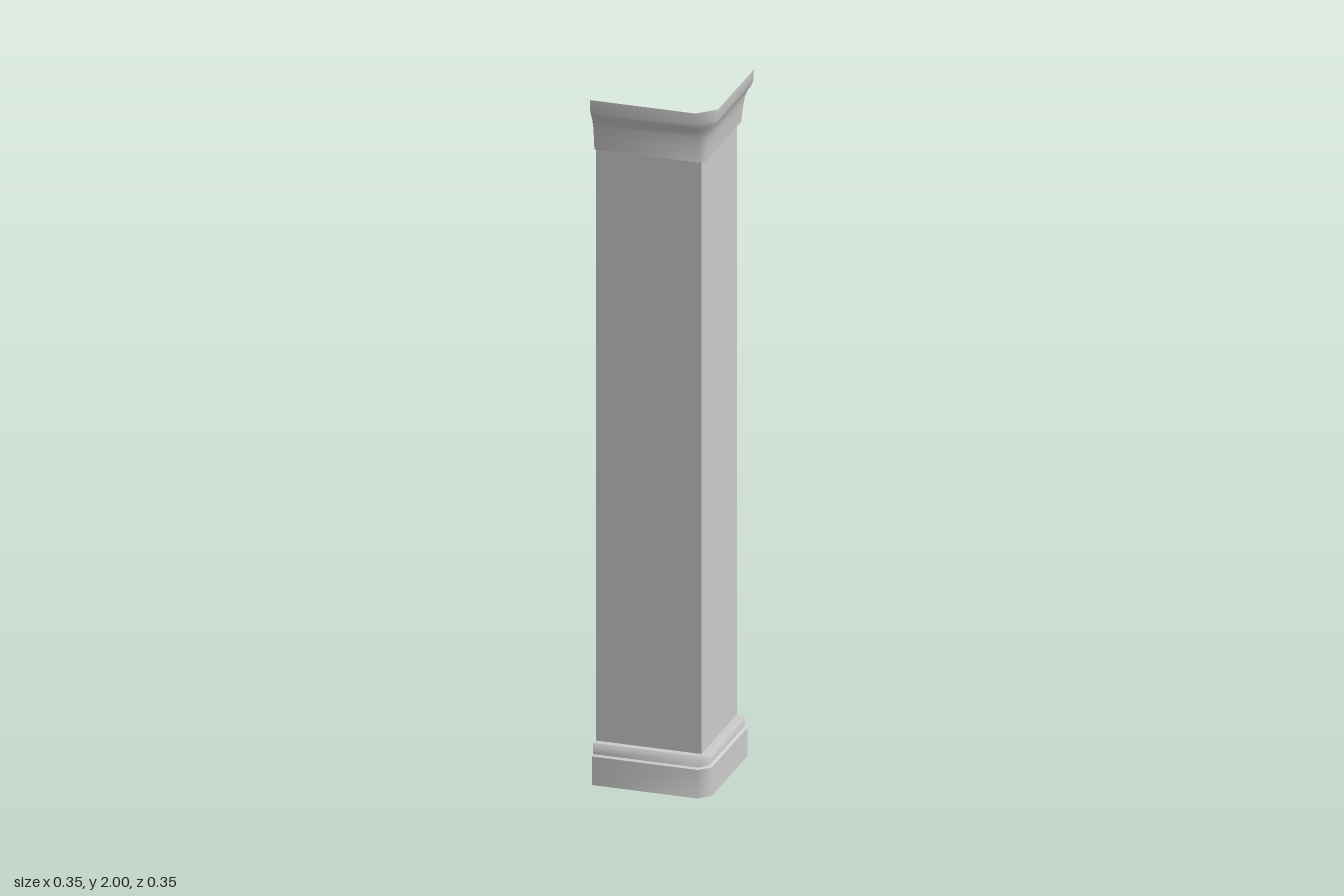
import * as THREE from 'three';
import { toCreasedNormals } from 'three/addons/utils/BufferGeometryUtils.js';

const FACE = 0.126;  // distance of both wall faces from the centre
const END = -0.174;  // where both wings stop

// Plan of the L-shaped corner, pushed out by d with a chamfered corner.
function plan(d) {
  return [[END, FACE + d], [FACE, FACE + d], [FACE + d, FACE], [FACE + d, END]];
}

// Sweeps a profile of [offset, height] points, from bottom to top, round the corner.
function cornerSheet(name, profile) {
  const pos = [];
  const rows = profile.map(([d, y]) => plan(d).map(([x, z]) => new THREE.Vector3(x, y, z)));
  const tri = (a, b, c) => {
    if (a.equals(b) || b.equals(c) || a.equals(c)) return;
    for (const v of [a, b, c]) pos.push(v.x, v.y, v.z);
  };
  for (let r = 0; r < rows.length - 1; r++) {
    for (let i = 0; i < 3; i++) {
      const [a, b, c, d] = [rows[r][i], rows[r][i + 1], rows[r + 1][i + 1], rows[r + 1][i]];
      tri(a, b, c);
      tri(a, c, d);
    }
  }
  const geo = new THREE.BufferGeometry();
  geo.setAttribute('position', new THREE.Float32BufferAttribute(pos, 3));
  const mat = new THREE.MeshStandardMaterial({ color: 0xcccccc, side: THREE.DoubleSide });
  const mesh = new THREE.Mesh(toCreasedNormals(geo, 0.9), mat);
  mesh.name = name;
  return mesh;
}

export function createModel() {
  const group = new THREE.Group();
  group.name = 'cornerPilaster';

  // Plinth with a small step and a ledge back to the wall
  group.add(cornerSheet('base', [
    [0.03, 0], [0.03, 0.083], [0.022, 0.087], [0.022, 0.114], [0.019, 0.118], [0, 0.118],
  ]));

  // Plain shaft
  group.add(cornerSheet('shaft', [[0, 0.118], [0, 1.843]]));

  // Flared crown moulding, open at the top
  group.add(cornerSheet('crown', [
    [0, 1.843], [0.012, 1.843], [0.017, 1.885], [0.022, 1.915], [0.03, 1.937],
    [0.041, 1.954], [0.047, 1.968], [0.048, 2],
  ]));

  return group;
}
